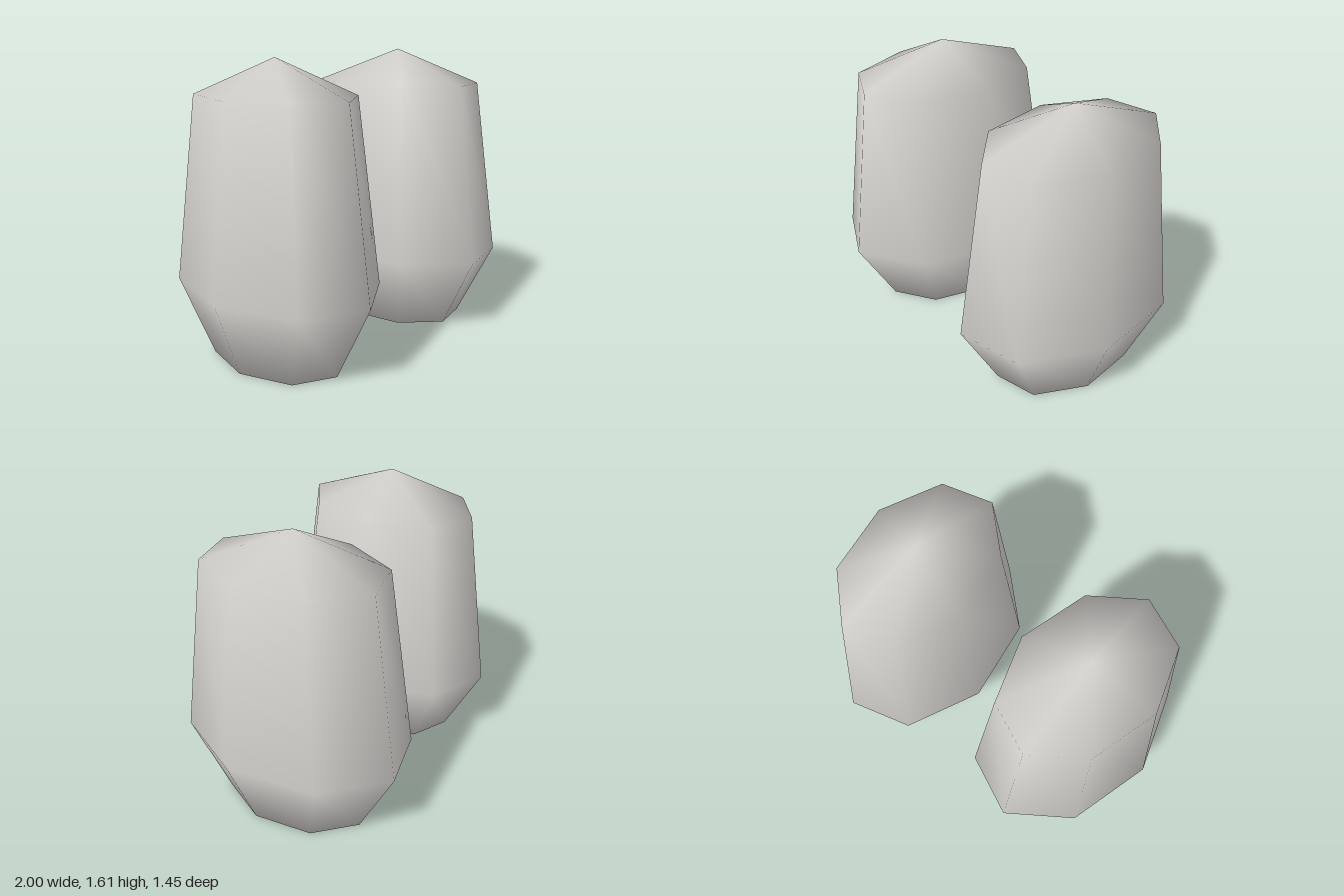
import * as THREE from 'three';
import { mergeVertices } from 'three/addons/utils/BufferGeometryUtils.js';

const stone = new THREE.MeshStandardMaterial({ color: 0xd6d4d0 });
stone.name = 'pale grey';

// Height profile of one pod, radius relative to its widest ring
const profile = [[0, 0], [0.66, 0], [1, 0.42], [0.785, 1.42], [0, 1.61]]
  .map(([r, y]) => new THREE.Vector2(r, y));

// Eight-sided smooth pod with a skewed oval section; side is +1 for left, -1 for right
function makePod(name, side, z) {
  let geometry = new THREE.LatheGeometry(profile, 8);
  geometry.deleteAttribute('uv');
  geometry.deleteAttribute('normal');
  geometry.applyMatrix4(new THREE.Matrix4().set(
    0.478, 0, -0.045 * side, 0,
    0, 1, 0, 0,
    0.095 * side, 0, 0.66, 0,
    0, 0, 0, 1,
  ));
  // Weld the seam and poles so the whole surface shades smoothly
  geometry = mergeVertices(geometry, 1e-4);
  geometry.computeVertexNormals();
  const pod = new THREE.Mesh(geometry, stone);
  pod.name = name;
  pod.position.set(0.522 * side, 0, z);
  return pod;
}

export function createModel() {
  const model = new THREE.Group();
  model.name = 'podPair';
  model.add(makePod('leftPod', 1, -0.068), makePod('rightPod', -1, 0.063));
  return model;
}
